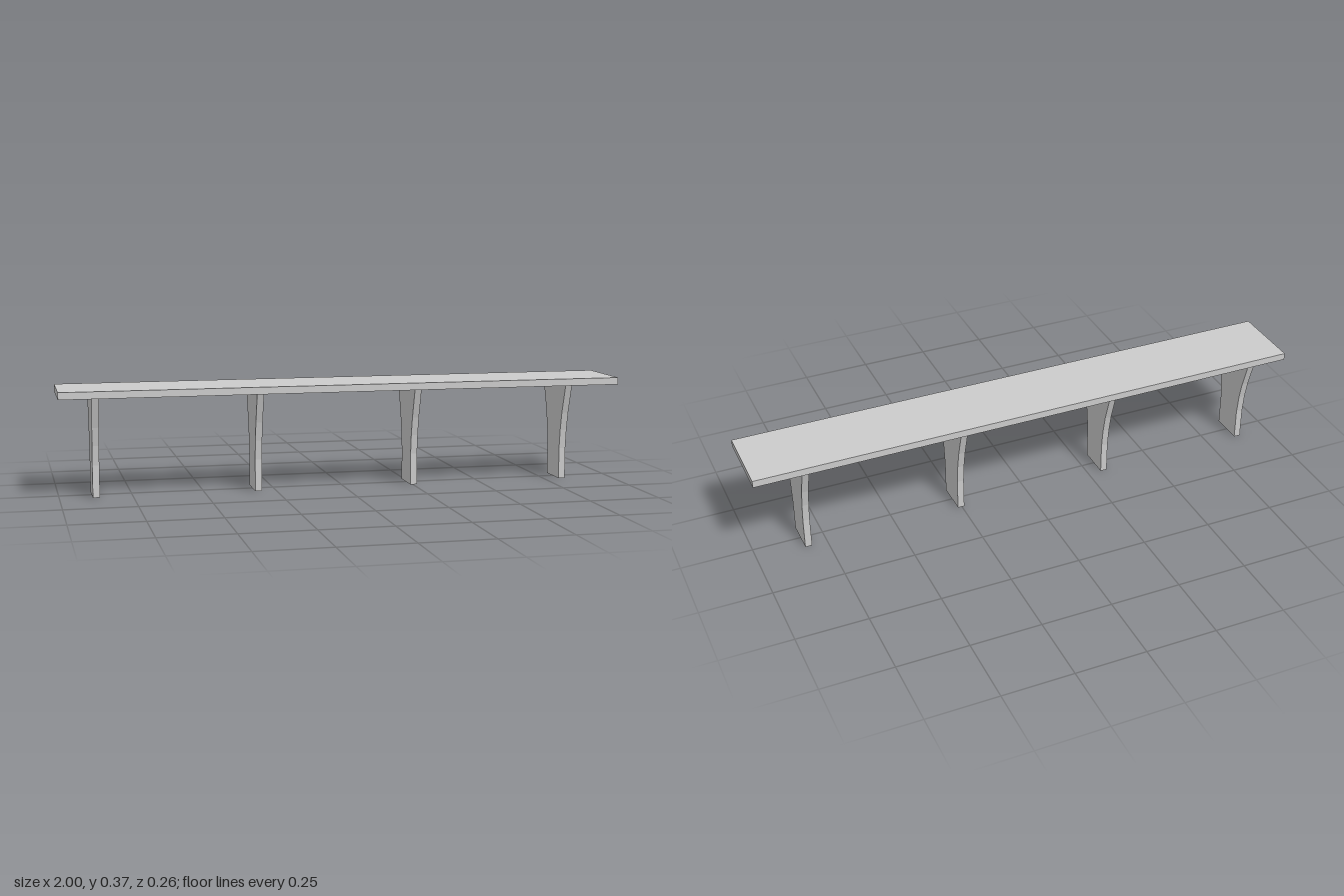
import * as THREE from 'three';

export function createModel() {
  const model = new THREE.Group();
  const material = new THREE.MeshStandardMaterial({ color: 0xcccccc, flatShading: true });
  const legHeight = 0.349, topThickness = 0.025, legThickness = 0.024;

  // Long flat seat board
  const seat = new THREE.Mesh(new THREE.BoxGeometry(2, topThickness, 0.26), material);
  seat.name = 'seat';
  seat.position.y = legHeight + topThickness / 2;
  model.add(seat);

  // Leg outline: straight foot flaring towards the seat, as [half depth, height]
  const side = [[0.059, 0], [0.059, 0.112], [0.0665, 0.18], [0.08, 0.245], [0.112, legHeight]];
  const outline = [
    ...side.map(([z, y]) => new THREE.Vector2(z, y)),
    ...side.map(([z, y]) => new THREE.Vector2(-z, y)).reverse(),
  ];
  const legGeometry = new THREE.ExtrudeGeometry(new THREE.Shape(outline), {
    depth: legThickness, bevelEnabled: false,
  });
  legGeometry.translate(0, 0, -legThickness / 2).rotateY(-Math.PI / 2);

  // Four evenly spaced legs
  for (let i = 0; i < 4; i++) {
    const leg = new THREE.Mesh(legGeometry, material);
    leg.name = `leg${i + 1}`;
    leg.position.set(-0.875 + i * 0.564, 0, 0.0015);
    model.add(leg);
  }
  return model;
}
